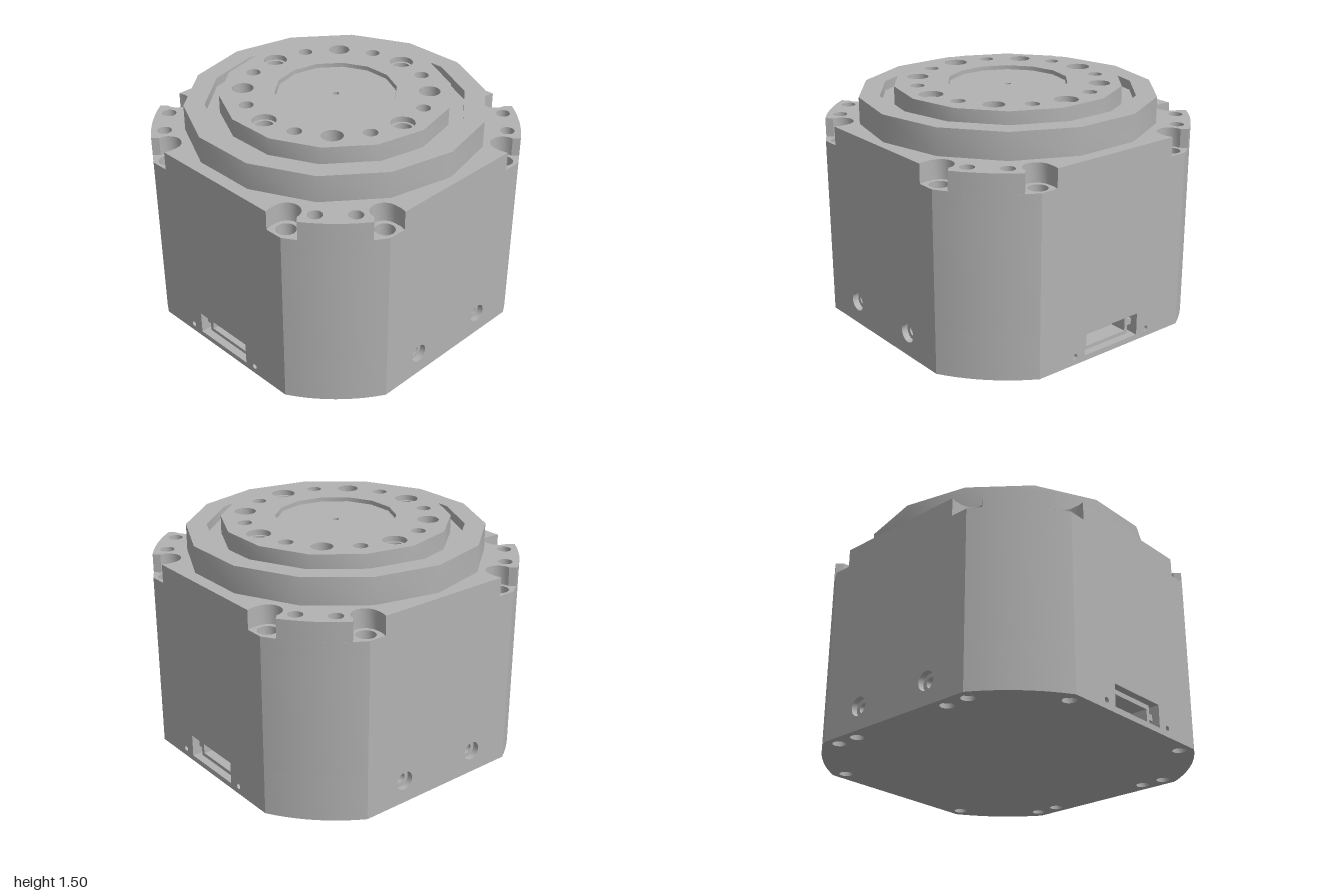
import * as THREE from 'three';
import { toCreasedNormals } from 'three/addons/utils/BufferGeometryUtils.js';

const V = (x, y) => new THREE.Vector2(x, y);
const R = 1.151;

const circle = (x, y, r, n = 20, a0 = 0) =>
  Array.from({ length: n }, (_, i) => {
    const a = a0 + (i / n) * Math.PI * 2;
    return V(x + r * Math.cos(a), y + r * Math.sin(a));
  });
const rect = (x0, y0, x1, y1) => [V(x0, y0), V(x1, y0), V(x1, y1), V(x0, y1)];
const polygon = (r) => circle(0, 0, r, 14, Math.PI / 2);

// Extrude an outline with holes along +z
function extrude(outline, holes, depth) {
  const shape = new THREE.Shape(outline);
  shape.holes = holes.map((h) => new THREE.Path(h));
  return new THREE.ExtrudeGeometry(shape, { depth, bevelEnabled: false, curveSegments: 1 });
}

// Points of the rounded corner from angle a to angle b
const cornerArc = (a, b, n) =>
  Array.from({ length: n + 1 }, (_, i) => {
    const t = a + ((b - a) * i) / n;
    return V(R * Math.cos(t), R * Math.sin(t));
  });

// Repeat one corner's points for all four corners
const fourfold = (pts) =>
  [0, 1, 2, 3].flatMap((k) => pts.map((p) => p.clone().rotateAround(V(0, 0), (k * Math.PI) / 2)));

export function createModel() {
  const group = new THREE.Group();
  const grey = new THREE.MeshStandardMaterial({ color: 0xb2b2b2 });
  grey.name = 'machined grey';

  const add = (name, geo, parent = group) => {
    const mesh = new THREE.Mesh(toCreasedNormals(geo, 0.5), grey);
    mesh.name = name;
    parent.add(mesh);
    return mesh;
  };
  // Horizontal slab between two heights
  const slab = (name, outline, holes, y0, y1) =>
    add(name, extrude(outline, holes, y1 - y0).rotateX(-Math.PI / 2).translate(0, y0, 0));

  // Housing outlines: plain, and with screw notches
  const start = Math.acos(1 / R);
  const corner = cornerArc(start, Math.PI / 2 - start, 10);
  const plain = fourfold(corner);

  const notch = [V(1, 0.455), V(0.96, 0.445)];
  for (let i = 0; i <= 10; i++) {
    const a = -Math.PI / 2 - (i / 10) * Math.PI;
    notch.push(V(0.915 + 0.085 * Math.cos(a), 0.53 + 0.085 * Math.sin(a)));
  }
  const lip = Math.atan2(0.65, 0.949);
  const swapped = notch.map((p) => V(p.y, p.x)).reverse();
  const notched = fourfold([...notch, ...cornerArc(lip, Math.PI / 2 - lip, 6), ...swapped]);

  // Holes repeated at both mirrored spots of each corner
  const cornerHoles = (a, b, r) =>
    fourfold([V(a, b), V(b, a)]).map((p) => circle(p.x, p.y, r));
  const baseHoles = cornerHoles(0.92, 0.53, 0.042);
  for (const x of [-0.37, 0.37]) for (const z of [-0.92, 0.92]) baseHoles.push(circle(x, z, 0.042));

  slab('basePlate', plain, baseHoles, 0, 0.03);
  slab('housing', plain, [], 0.3, 1.05);
  slab('screwSeats', plain, cornerHoles(0.92, 0.53, 0.06), 1.05, 1.15);
  slab('housingTop', notched, cornerHoles(0.83, 0.67, 0.045), 1.15, 1.27);

  // Lower corner blocks around the hollow base
  const block = [V(1, 0.45), ...corner, V(0.45, 1), V(0.45, 0.8), V(0.8, 0.45)];
  for (let k = 0; k < 4; k++) {
    const m = slab('lowerCorner', block, [], 0.03, 0.3);
    m.rotation.y = (k * Math.PI) / 2;
  }

  // Lower wall panels: screw holes front and back, connector ports on the sides
  const wall = rect(-0.45, 0.03, 0.45, 0.3);
  for (let k = 0; k < 4; k++) {
    const side = new THREE.Group();
    side.name = k % 2 ? 'portWall' : 'screwWall';
    side.rotation.y = (k * Math.PI) / 2;
    group.add(side);
    const layer = (name, outline, holes, z0, z1) =>
      add(name, extrude(outline, holes, z1 - z0).translate(0, 0, z0), side);
    if (k % 2 === 0) {
      const pair = (r) => [-0.28, 0.28].map((x) => circle(x, 0.15, r));
      layer('outerWall', wall, pair(0.06), 0.96, 1);
      layer('innerWall', wall, pair(0.033), 0.9, 0.96);
    } else {
      const pins = [-0.295, 0.295].map((x) => circle(x, 0.053, 0.018, 12));
      layer('wall', wall, [rect(-0.215, 0.036, 0.215, 0.18), ...pins], 0.9, 1);
      // Recessed socket with side tabs
      const socket = rect(-0.16, 0.06, 0.16, 0.15);
      layer('socketFrame', rect(-0.185, 0.036, 0.185, 0.18), [socket], 0.84, 0.95);
      layer('socketBack', rect(-0.185, 0.036, 0.185, 0.18), [], 0.82, 0.84);
      for (const s of [-0.2, 0.2]) layer('socketTab', rect(s - 0.015, 0.09, s + 0.015, 0.13), [], 0.84, 0.95);
    }
  }

  // Output flange: faceted rim, groove and raised disc
  slab('flangeRim', polygon(0.94), [polygon(0.81)], 1.27, 1.44);
  slab('grooveFloor', polygon(0.82), [], 1.27, 1.38);

  // Bolt circle: eight large and eight small holes
  const bolts = [];
  const at = (deg, r) => {
    const a = THREE.MathUtils.degToRad(deg);
    return circle(0.577 * Math.cos(a), 0.577 * Math.sin(a), r);
  };
  for (let i = 0; i < 8; i++) {
    bolts.push(at(i * 45 - 2, i % 2 ? 0.067 : 0.075), at(i * 45 + 20.5, 0.045));
  }
  slab('outputDisc', polygon(0.72), [polygon(0.38), ...bolts], 1.38, 1.495);
  for (let i = 0; i < 8; i += 2) {
    slab('boltSeat', at(i * 45 - 2, 0.075), [at(i * 45 - 2, 0.058)], 1.38, 1.46);
  }
  slab('centreCap', polygon(0.375), [circle(0, 0, 0.02, 12)], 1.38, 1.47);

  return group;
}
